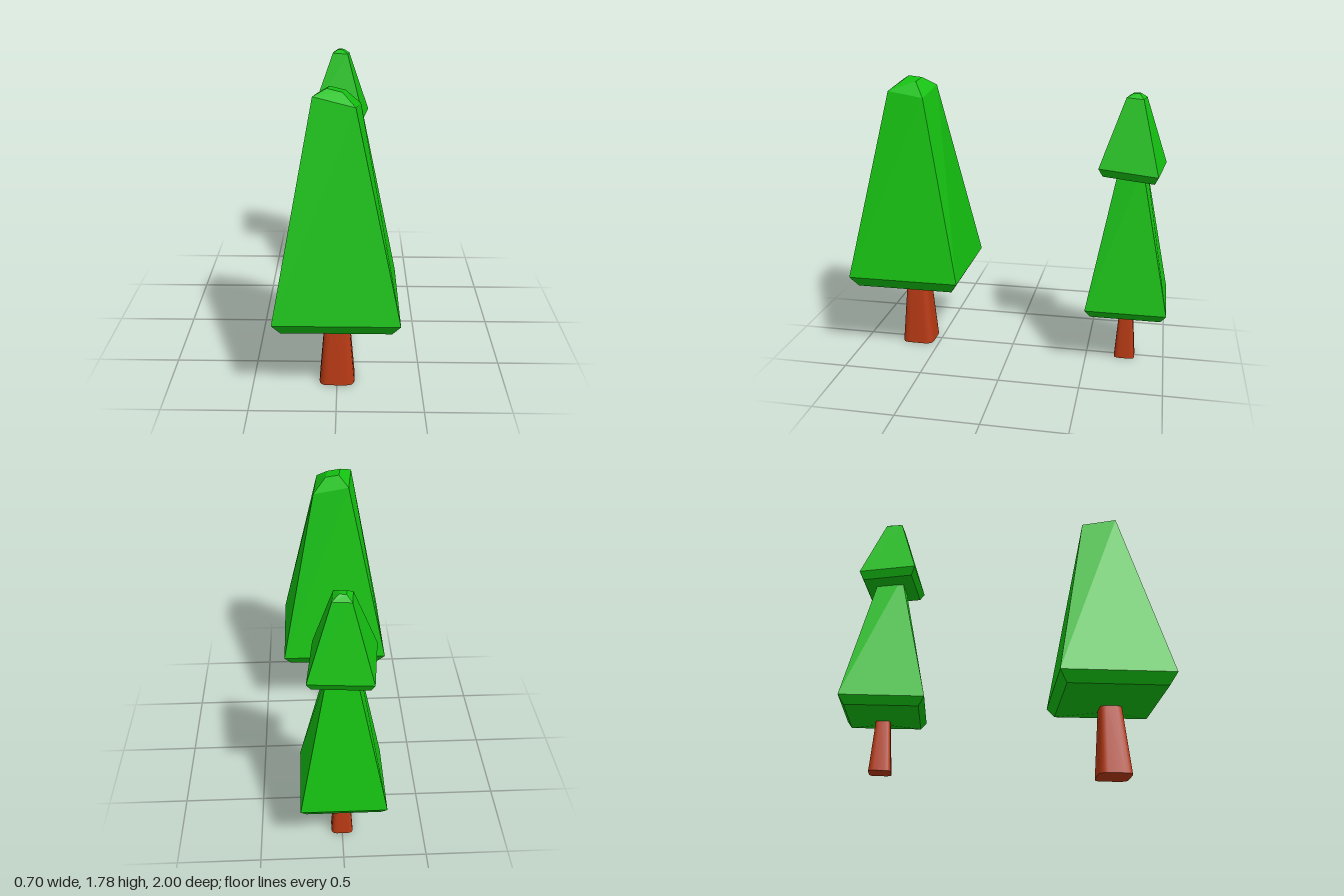
import * as THREE from 'three';
import { toCreasedNormals } from 'three/addons/utils/BufferGeometryUtils.js';

const green = new THREE.MeshStandardMaterial({ color: 0x14c010, flatShading: true });
const bark = new THREE.MeshStandardMaterial({ color: 0xb83a14 });

// Square ring of corners: front left, front right, back right, back left as seen from the front
function square(y, half, cz, turn = 0) {
  return [[-1, 1], [1, 1], [1, -1], [-1, -1]].map(([x, z]) => {
    const c = Math.cos(turn) * half, s = Math.sin(turn) * half;
    return [x * c - z * s, y, cz + x * s + z * c];
  });
}

// Shrinks a ring about its centre and shifts it vertically
function shrink(ring, k, dy) {
  const mid = [0, 1, 2].map(i => ring.reduce((sum, p) => sum + p[i], 0) / 4);
  return ring.map(p => p.map((v, i) => mid[i] + (v - mid[i]) * k + (i === 1 ? dy : 0)));
}

// Faceted foliage tier through four-cornered rings, listed bottom to top
function tier(name, rings) {
  const index = [];
  for (let r = 0; r < rings.length - 1; r++) {
    for (let i = 0; i < 4; i++) {
      const a = r * 4 + i, b = r * 4 + (i + 1) % 4;
      index.push(a, b, b + 4, a, b + 4, a + 4);
    }
  }
  const t = (rings.length - 1) * 4;
  index.push(t, t + 1, t + 2, t, t + 2, t + 3, 0, 2, 1, 0, 3, 2);
  let geo = new THREE.BufferGeometry();
  geo.setAttribute('position', new THREE.Float32BufferAttribute(rings.flat(2), 3));
  geo.setIndex(index);
  geo = geo.toNonIndexed();
  geo.computeVertexNormals();
  const mesh = new THREE.Mesh(geo, green);
  mesh.name = name;
  return mesh;
}

// Tapered trunk with a rounded-square section
function trunk(bottom, top, height, cz) {
  const h = bottom, r = bottom * 0.5, s = new THREE.Shape();
  s.moveTo(-h + r, -h);
  s.lineTo(h - r, -h).quadraticCurveTo(h, -h, h, -h + r);
  s.lineTo(h, h - r).quadraticCurveTo(h, h, h - r, h);
  s.lineTo(-h + r, h).quadraticCurveTo(-h, h, -h, h - r);
  s.lineTo(-h, -h + r).quadraticCurveTo(-h, -h, -h + r, -h);
  let geo = new THREE.ExtrudeGeometry(s, { depth: height, bevelEnabled: false, curveSegments: 4 });
  geo.rotateX(-Math.PI / 2);
  const p = geo.attributes.position;
  for (let i = 0; i < p.count; i++) {
    const k = 1 + (top / bottom - 1) * p.getY(i) / height;
    p.setXYZ(i, p.getX(i) * k, p.getY(i), p.getZ(i) * k);
  }
  geo = toCreasedNormals(geo, 0.8);
  const mesh = new THREE.Mesh(geo, bark);
  mesh.name = 'trunk';
  mesh.position.z = cz;
  return mesh;
}

export function createModel() {
  const model = new THREE.Group();
  model.name = 'pineTrees';

  // Large front tree with a single tier and a crooked tip
  const big = new THREE.Group();
  big.name = 'largeTree';
  const bz = 0.645;
  big.add(trunk(0.105, 0.068, 0.45, bz), tier('foliage', [
    square(0.43, 0.065, bz),
    square(0.48, 0.308, bz),
    square(0.55, 0.352, bz),
    [[-0.127, 1.755, 0.738], [0.1, 1.705, 0.77], [0.128, 1.672, 0.54], [-0.1, 1.725, 0.512]],
    [[-0.053, 1.785, 0.68], [0.03, 1.767, 0.692], [0.045, 1.76, 0.605], [-0.04, 1.778, 0.592]],
  ]));

  // Slimmer back tree with two tiers, the upper one turned and tilted
  const small = new THREE.Group();
  small.name = 'smallTree';
  const sz = -0.748;
  const brim = [[-0.2, 1.3, -0.6], [0.16, 1.285, -0.548], [0.2, 1.255, -0.905], [-0.16, 1.27, -0.95]];
  small.add(
    trunk(0.066, 0.042, 0.33, sz),
    tier('lowerFoliage', [
      square(0.31, 0.045, sz),
      square(0.347, 0.217, sz),
      square(0.397, 0.25, sz),
      square(1.28, 0.072, sz, 0.12),
    ]),
    tier('upperFoliage', [
      shrink(brim, 0.2, -0.08),
      shrink(brim, 0.87, -0.05),
      brim,
      [[-0.055, 1.7, -0.71], [0.048, 1.698, -0.692], [0.06, 1.69, -0.795], [-0.045, 1.694, -0.812]],
      square(1.72, 0.019, -0.752, 0.12),
    ]),
  );

  model.add(big, small);
  return model;
}
